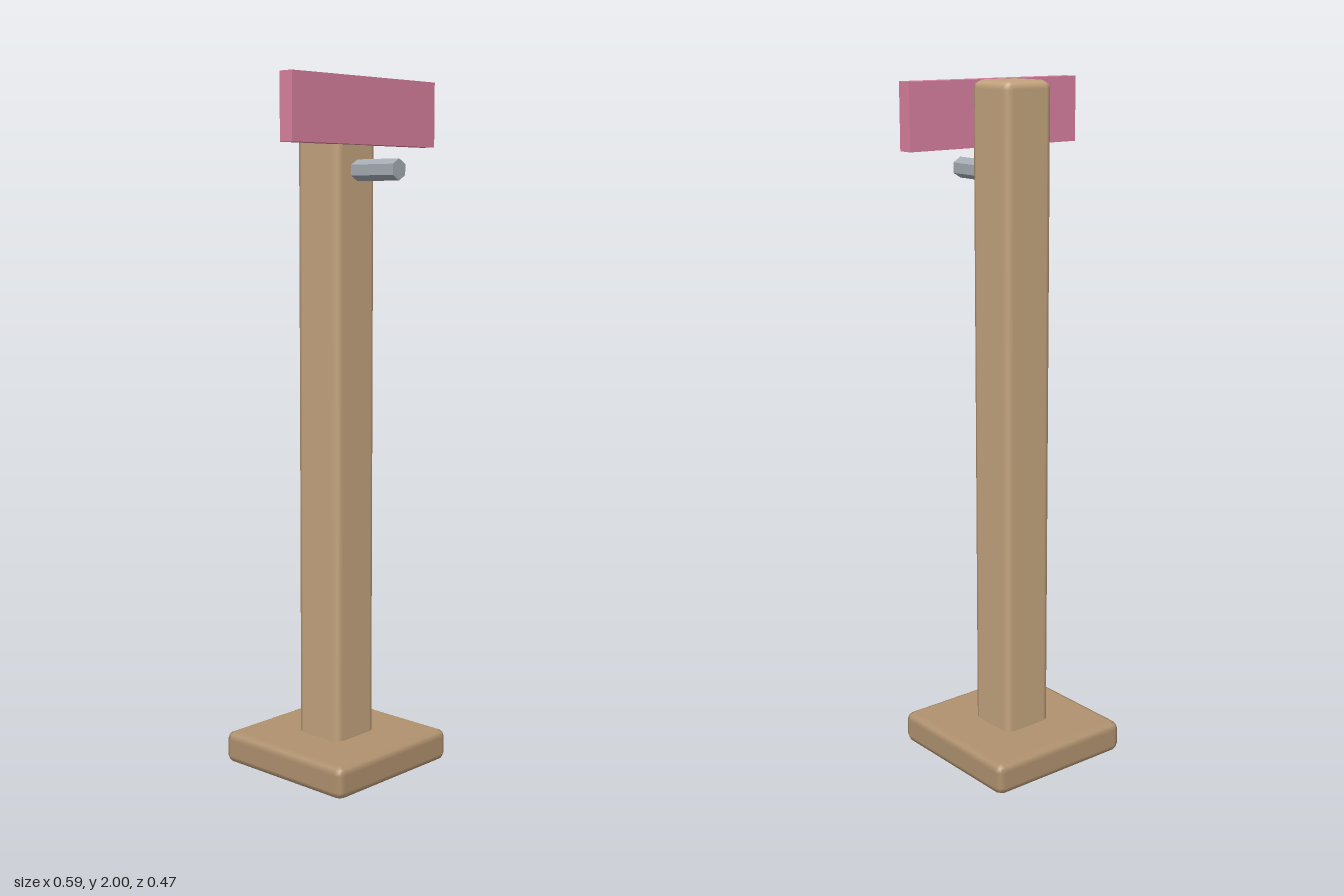
import * as THREE from 'three';
import { RoundedBoxGeometry } from 'three/addons/geometries/RoundedBoxGeometry.js';

const BEVEL = 0.023;

export function createModel() {
  const model = new THREE.Group();

  const add = (name, geometry, color, x, y, z) => {
    const mesh = new THREE.Mesh(geometry, new THREE.MeshStandardMaterial({ color }));
    mesh.name = name;
    mesh.position.set(x, y, z);
    model.add(mesh);
    return mesh;
  };

  // Square foot with softened edges
  add('base', new RoundedBoxGeometry(0.47, 0.095, 0.47, 1, BEVEL), 0xb0926f, 0, 0.0475, 0);

  // Upright post, sunk slightly into the foot
  add('post', new RoundedBoxGeometry(0.162, 1.94, 0.162, 1, BEVEL), 0xc4a47e, 0, 1.03, 0);

  // Flat sign board across the front of the post top
  add('signBoard', new THREE.BoxGeometry(0.588, 0.185, 0.046), 0xd9809f, 0, 1.9075, 0.093);

  // Hexagonal peg sticking out forward below the board, one corner up
  const pegGeometry = new THREE.CylinderGeometry(0.03, 0.03, 0.165, 6).toNonIndexed();
  pegGeometry.computeVertexNormals();
  pegGeometry.rotateX(Math.PI / 2);
  add('peg', pegGeometry, 0xa4abb3, 0, 1.745, 0.1525);

  return model;
}
